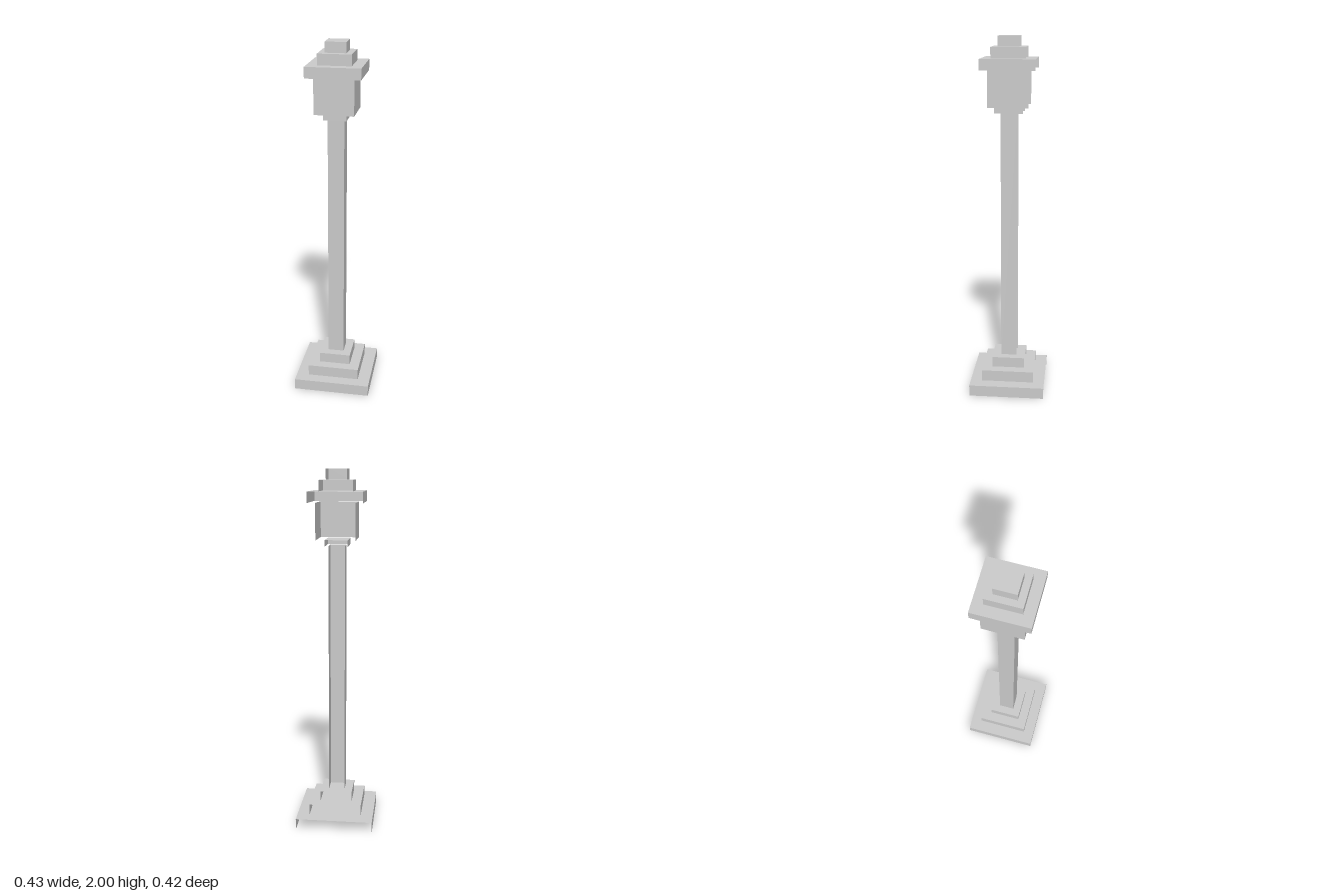
import * as THREE from 'three';

const material = new THREE.MeshStandardMaterial({ color: 0xcccccc, flatShading: true, side: THREE.DoubleSide });

// Box shell, open at the back and bottom; the top is optional
function shell(name, width, depth, y0, y1, hasTop = true) {
  const geometry = new THREE.BoxGeometry(width, y1 - y0, depth);
  const index = Array.from(geometry.index.array);
  const side = (n) => index.slice(n * 6, n * 6 + 6); // +x, -x, +y, -y, +z, -z
  geometry.setIndex([...side(0), ...side(1), ...side(4), ...(hasTop ? side(2) : [])]);
  geometry.clearGroups();
  const mesh = new THREE.Mesh(geometry, material);
  mesh.name = name;
  mesh.position.y = (y0 + y1) / 2;
  return mesh;
}

export function createModel() {
  const model = new THREE.Group();
  model.name = 'lampPost';
  model.add(
    // Stepped base
    shell('baseLowerStep', 0.433, 0.423, 0, 0.063),
    shell('baseMiddleStep', 0.294, 0.295, 0.063, 0.126),
    shell('baseUpperStep', 0.18, 0.186, 0.126, 0.185),
    // Post and the collar under the lantern
    shell('post', 0.09, 0.09, 0.185, 1.595, false),
    shell('collar', 0.124, 0.156, 1.595, 1.63),
    // Lantern body, open to the roof above
    shell('lantern', 0.214, 0.219, 1.63, 1.826, false),
    // Stepped roof
    shell('roofLowerStep', 0.294, 0.295, 1.826, 1.885),
    shell('roofMiddleStep', 0.18, 0.186, 1.885, 1.944),
    shell('roofCap', 0.113, 0.116, 1.944, 2),
  );
  return model;
}
